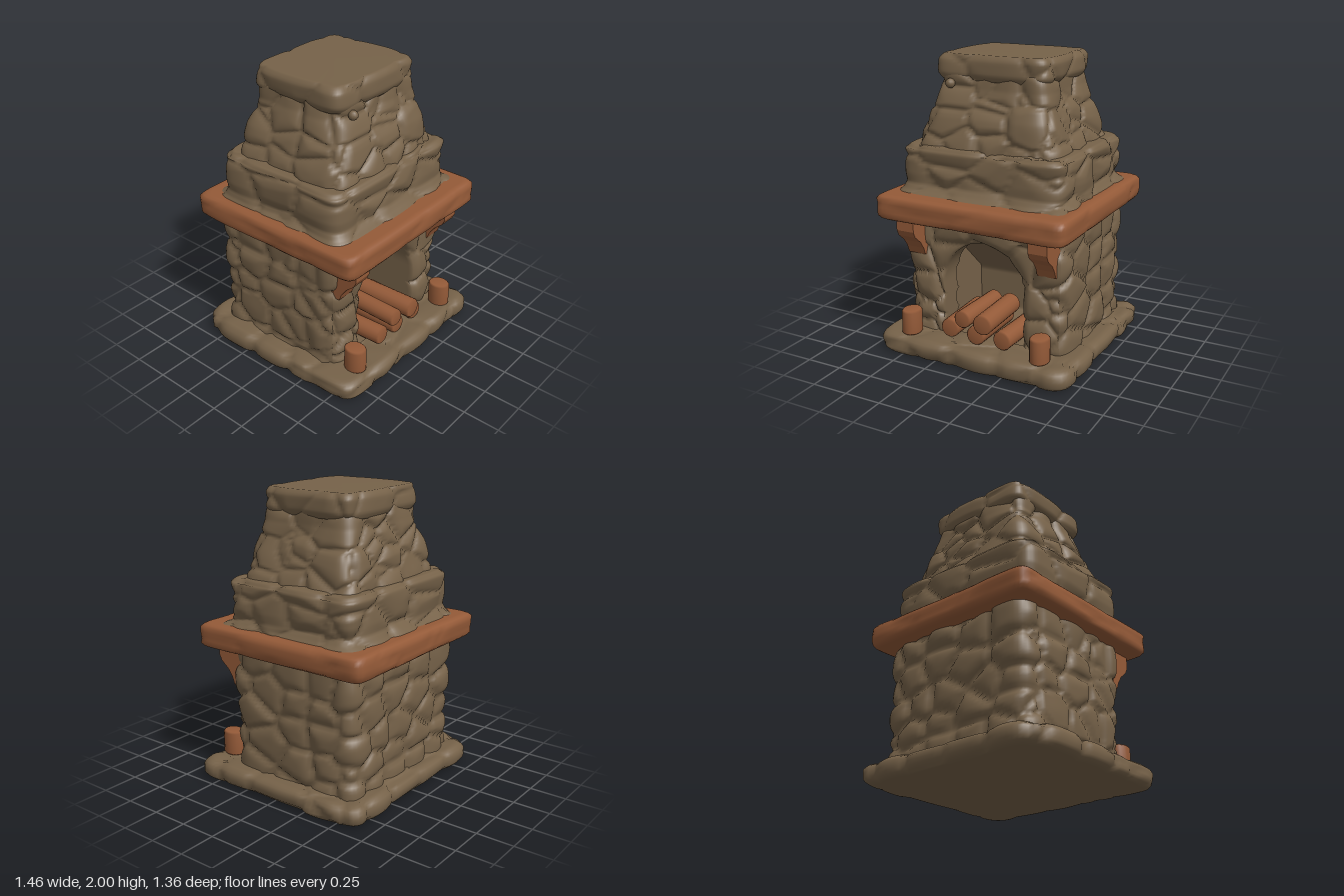
import * as THREE from 'three';

const mat = (name, color) => new THREE.MeshStandardMaterial({ name, color, side: THREE.DoubleSide });

// repeatable hash in 0..1
const hash = (x, y, z) => {
  const s = Math.sin(x * 127.1 + y * 311.7 + z * 74.7) * 43758.5453;
  return s - Math.floor(s);
};

// stone pattern: 0 in the joints, up to 1 on the stones
function stoneBump(p, [cx, cy], joint) {
  const q = [p.x / cx + 7.3, p.y / cy + 3.1, p.z / cx + 5.7];
  const c = q.map(Math.floor);
  let near = 9, next = 9, id = 0;
  for (let i = -1; i < 2; i++) for (let j = -1; j < 2; j++) for (let k = -1; k < 2; k++) {
    const a = c[0] + i, b = c[1] + j, e = c[2] + k;
    const d = Math.hypot(
      a + 0.15 + 0.7 * hash(a, b, e) - q[0],
      b + 0.15 + 0.7 * hash(b, e, a + 9) - q[1],
      e + 0.15 + 0.7 * hash(e, a, b + 17) - q[2]);
    if (d < near) { next = near; near = d; id = hash(a + 3, b, e); }
    else if (d < next) next = d;
  }
  const t = Math.min(1, (next - near) / joint);
  return Math.sqrt(t * (2 - t)) * (0.65 + 0.35 * id);
}

// surface from a rule over a regular grid
function grid(nu, nv, rule, closed = false) {
  const pos = [], index = [], cols = closed ? nu : nu + 1;
  for (let j = 0; j <= nv; j++) for (let i = 0; i < cols; i++) pos.push(...rule(i / nu, j / nv).toArray());
  for (let j = 0; j < nv; j++) for (let i = 0; i < nu; i++) {
    const k = (i + 1) % cols, a = j * cols + i, b = j * cols + k;
    index.push(a, b, b + cols, a, b + cols, a + cols);
  }
  const g = new THREE.BufferGeometry();
  g.setAttribute('position', new THREE.Float32BufferAttribute(pos, 3));
  g.setIndex(index);
  g.computeVertexNormals();
  return g;
}

// point on a polyline by share of its length
function along(points, t) {
  const len = points.slice(1).map((p, i) => Math.hypot(...p.map((v, k) => v - points[i][k])));
  let d = t * len.reduce((a, b) => a + b, 0), i = 0;
  while (i < len.length - 1 && d > len[i]) d -= len[i++];
  const f = Math.min(1, d / len[i]);
  return points[i].map((v, k) => v + (points[i + 1][k] - v) * f);
}

// push a point outwards from a rounded square plan by the stone pattern
function roughen(p, hx, hz, zc, o) {
  const nx = Math.sign(p.x) * Math.abs(p.x / hx) ** (o.n - 1) / hx;
  const nz = Math.sign(p.z - zc) * Math.abs((p.z - zc) / hz) ** (o.n - 1) / hz;
  const l = Math.hypot(nx, nz) || 1, b = stoneBump(p, o.cell, o.joint ?? 0.6);
  const d = o.amp * (b - 0.2) * Math.min(1, hx / 0.3);
  p.x += d * nx / l;
  p.z += d * nz / l;
  if (o.lift && p.y > o.liftFrom) p.y += o.lift * (b - 0.8);
  return p;
}

// rounded-square loft; profile rows are [y, half width, half depth, centre z]
function loft(profile, rows, o, from = 0, to = 4) {
  const per = 40;
  return grid((to - from) * per, rows, (u, v) => {
    const t = from + u * (to - from), k = Math.min(3, Math.floor(t)), s = 2 * (t - k) - 1;
    const [a, b] = [[s, 1], [1, -s], [-s, -1], [-1, s]][k];
    const r = (Math.abs(a) ** o.n + Math.abs(b) ** o.n) ** (-1 / o.n);
    const [y, hx, hz, zc] = along(profile, v);
    return roughen(new THREE.Vector3(a * r * hx, y, zc + b * r * hz), hx, hz, zc, o);
  }, to - from === 4);
}

export function createModel() {
  const group = new THREE.Group();
  const stone = mat('brown stone', 0x766249);
  const wood = mat('reddish wood', 0x945a38);
  const add = (name, geometry, material, x = 0, y = 0, z = 0) => {
    const m = new THREE.Mesh(geometry, material);
    m.name = name;
    m.position.set(x, y, z);
    group.add(m);
    return m;
  };
  const tip = 0.0005; // closes the loft ends

  // hearth slab
  add('hearthBase', loft([[0, tip, tip, 0], [0, 0.66, 0.62, 0], [0.03, 0.695, 0.65, 0], [0.1, 0.695, 0.65, 0],
    [0.14, 0.66, 0.61, 0], [0.14, tip, tip, 0]], 70,
  { n: 14, cell: [0.33, 0.5], amp: 0.055, lift: 0.03, liftFrom: 0.12 }), stone);

  // sides and back of the firebox
  const body = { n: 12, cell: [0.25, 0.2], amp: 0.06, joint: 0.75 };
  const [HX, HZ, ZC] = [0.57, 0.48, -0.06];
  add('fireboxWalls', loft([[0.1, HX, HZ, ZC], [1, HX, HZ, ZC]], 44, body, 1, 4), stone);

  // front wall wrapped around the arched opening
  const corner = HX * 2 ** (-1 / body.n);
  const archPoint = u => {
    if (u < 0.3) return [-0.3, 0.12 + 0.36 * u / 0.3];
    if (u > 0.7) return [0.3, 0.12 + 0.36 * (1 - u) / 0.3];
    const a = Math.PI * (0.7 - u) / 0.4;
    return [0.3 * Math.cos(a), 0.48 + 0.31 * Math.sin(a)];
  };
  const edgePoint = u => u < 0.4 ? [-corner, 0.1 + 0.9 * u / 0.4]
    : u > 0.6 ? [corner, 0.1 + 0.9 * (1 - u) / 0.4] : [corner * (u - 0.5) / 0.1, 1];
  add('archedFront', grid(120, 30, (u, v) => {
    const w = Math.max(0, (v - 0.2) / 0.8), a = archPoint(u), e = edgePoint(u);
    const x = a[0] + (e[0] - a[0]) * w, y = a[1] + (e[1] - a[1]) * w;
    const z = ZC + HZ * (1 - Math.abs(x / HX) ** body.n) ** (1 / body.n);
    const p = roughen(new THREE.Vector3(x, y, z), HX, HZ, ZC, body);
    p.z -= 0.035 * Math.max(0, 1 - w / 0.25) ** 2; // rounded lip
    if (v < 0.2) p.z -= 0.16 * (1 - v / 0.2);
    return p;
  }), stone);

  // smoke chamber: floor, back and forward-leaning ceiling
  const chamber = [[0.42, 0.145], [-0.1, 0.145], [-0.1, 0.43], [0.34, 0.84]];
  add('fireboxLining', grid(1, 60, (u, v) => {
    const [z, y] = along(chamber, v);
    return new THREE.Vector3(0.62 * (u - 0.5), y, z);
  }), stone);
  const cheek = new THREE.Shape(chamber.map(([z, y]) => new THREE.Vector2(z, y)));
  for (const s of [-1, 1]) {
    add('fireboxCheek', new THREE.ShapeGeometry(cheek).rotateY(-Math.PI / 2), stone, s * 0.306);
  }

  // wooden mantel all round
  const mz = -0.008;
  add('mantel', loft([[0.94, tip, tip, mz], [0.935, 0.65, 0.635, mz], [0.96, 0.676, 0.66, mz], [1.075, 0.676, 0.66, mz],
    [1.10, 0.65, 0.635, mz], [1.10, tip, tip, mz]], 70,
  { n: 26, cell: [0.6, 0.14], amp: 0.018, joint: 0.8 }), wood);

  // stacked chimney courses
  add('lowerChimneyCourse', loft([[1.09, 0.605, 0.55, -0.02], [1.12, 0.575, 0.51, -0.028], [1.16, 0.56, 0.48, -0.028],
    [1.22, 0.57, 0.488, -0.028], [1.38, 0.57, 0.488, -0.028], [1.415, 0.54, 0.46, -0.028], [1.42, 0.3, 0.3, -0.028]], 50,
  { n: 13, cell: [0.36, 0.28], amp: 0.055, lift: 0.02, liftFrom: 1.39 }), stone);
  add('taperedChimney', loft([[1.38, 0.49, 0.435, -0.025], [1.6, 0.43, 0.39, -0.025], [1.78, 0.365, 0.335, -0.03],
    [1.9, 0.35, 0.32, -0.03]], 44, { n: 12, cell: [0.24, 0.19], amp: 0.055, joint: 0.75 }), stone);
  add('chimneyCap', loft([[1.83, 0.25, 0.22, -0.033], [1.83, 0.36, 0.32, -0.033], [1.87, 0.385, 0.34, -0.033],
    [1.96, 0.385, 0.34, -0.033], [1.995, 0.36, 0.32, -0.033], [2, tip, tip, -0.033]], 50,
  { n: 11, cell: [0.45, 0.5], amp: 0.04 }), stone);
  add('pebble', new THREE.SphereGeometry(0.032, 12, 8), stone, -0.27, 1.81, 0.335);

  // brackets and short posts on both sides
  const bracket = new THREE.Shape([[0.38, 0.95], [0.38, 0.67], [0.455, 0.67], [0.475, 0.72], [0.51, 0.77],
    [0.57, 0.82], [0.59, 0.86], [0.59, 0.95]].map(([z, y]) => new THREE.Vector2(z, y)));
  const bracketGeo = new THREE.ExtrudeGeometry(bracket, { depth: 0.13, bevelEnabled: false })
    .translate(0, 0, -0.065).rotateY(-Math.PI / 2);
  const log = (r, h) => new THREE.LatheGeometry([[0, -h / 2], [r * 0.85, -h / 2], [r, -h / 2 + 0.012],
    [r, h / 2 - 0.012], [r * 0.85, h / 2], [0, h / 2]].map(([x, y]) => new THREE.Vector2(x, y)), 18);
  for (const s of [-1, 1]) {
    add('mantelBracket', bracketGeo, wood, s * 0.48);
    add('shortPost', log(0.065, 0.17), wood, s * 0.48, 0.215, 0.54).scale.z = 1.2;
  }

  // stacked firewood: x, y, radius, front z, yaw
  for (const [x, y, r, front, yaw] of [[-0.195, 0.215, 0.065, 0.54, 0.04], [0, 0.195, 0.065, 0.53, 0],
    [0.205, 0.2, 0.065, 0.53, -0.04], [-0.068, 0.31, 0.06, 0.57, -0.03], [0.08, 0.31, 0.068, 0.59, 0.03]]) {
    add('firewoodLog', log(r, 0.44).rotateX(Math.PI / 2).rotateY(yaw), wood, x, y, front - 0.22);
  }
  return group;
}
